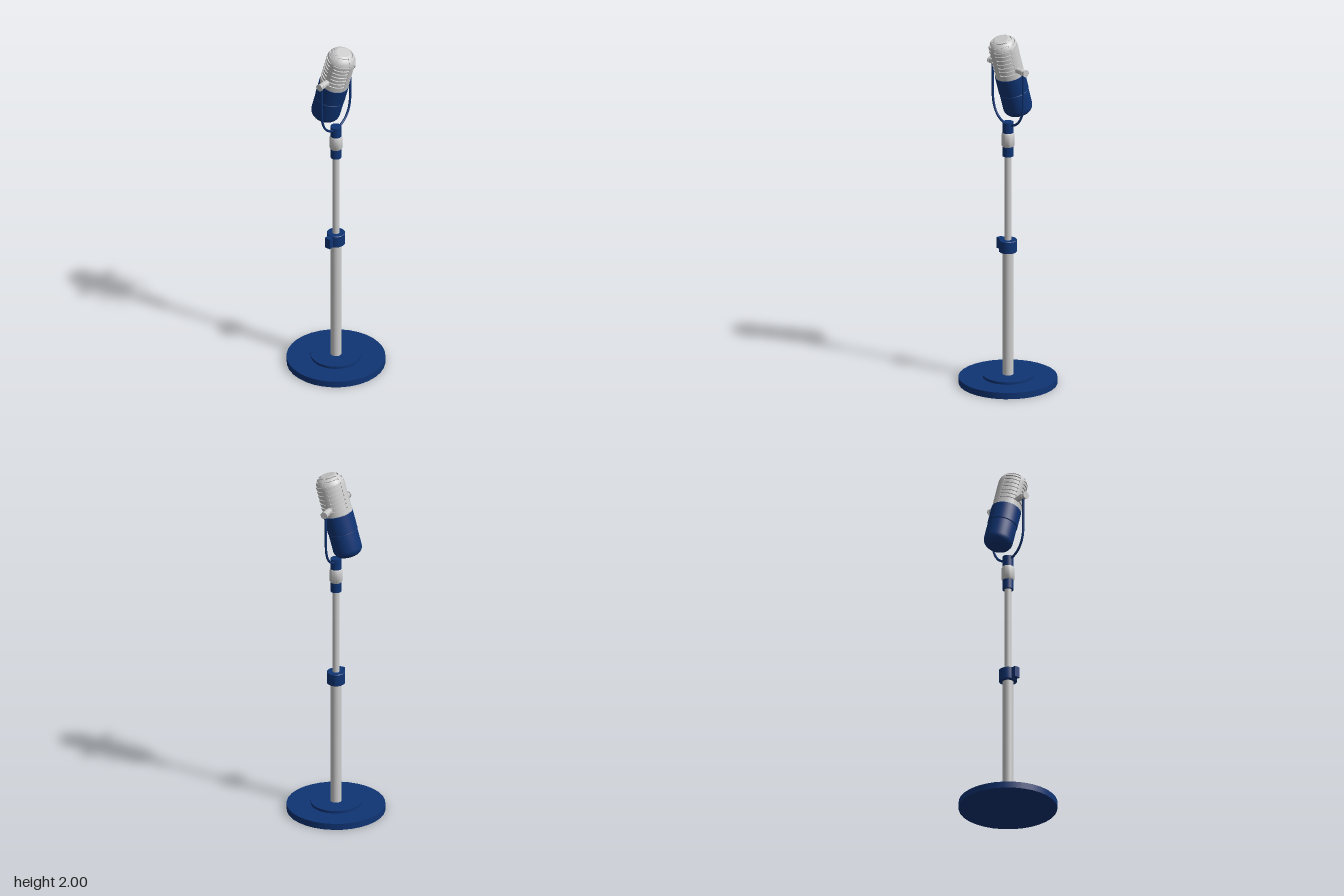
import * as THREE from 'three';
import { toCreasedNormals } from 'three/addons/utils/BufferGeometryUtils.js';

const grey = new THREE.MeshStandardMaterial({ color: 0xcccccc });
const blue = new THREE.MeshStandardMaterial({ color: 0x0f3474 });

function add(parent, name, geometry, material, x = 0, y = 0, z = 0) {
  const mesh = new THREE.Mesh(geometry, material);
  mesh.name = name;
  mesh.position.set(x, y, z);
  parent.add(mesh);
  return mesh;
}

// Turned part from [radius, height] pairs, bottom to top, with sharp edges kept
function turned(points, segments = 32) {
  const lathe = new THREE.LatheGeometry(points.map(([r, y]) => new THREE.Vector2(r, y)), segments);
  return toCreasedNormals(lathe, 0.6);
}

// Plain disc or rod standing between two heights
function rod(parent, name, radius, y0, y1, material, segments = 32) {
  return add(parent, name, new THREE.CylinderGeometry(radius, radius, y1 - y0, segments), material, 0, (y0 + y1) / 2);
}

// Grille outline: straight side, then a rounded shoulder; s runs along it, inset goes inward
const SIDE = 0.08, SHOULDER = 0.122, ROUND = 0.06, S_TOP = 0.199;
function outline(s, inset = 0) {
  if (s <= SHOULDER) return [SIDE - inset, s];
  const a = (s - SHOULDER) / ROUND;
  return [SIDE - ROUND + (ROUND - inset) * Math.cos(a), SHOULDER + (ROUND - inset) * Math.sin(a)];
}

// A box bent onto the grille outline, covering an angle range and an s range
function shellPiece(phi0, phi1, s0, s1) {
  const nPhi = Math.max(3, Math.ceil((phi1 - phi0) * 7));
  const nS = Math.max(2, Math.ceil((s1 - s0) / 0.008));
  const g = new THREE.BoxGeometry(1, 1, 1, nPhi, nS, 1);
  const p = g.attributes.position;
  for (let i = 0; i < p.count; i++) {
    const phi = phi0 + (p.getX(i) + 0.5) * (phi1 - phi0);
    const [r, y] = outline(s0 + (p.getY(i) + 0.5) * (s1 - s0), (0.5 - p.getZ(i)) * 0.008);
    p.setXYZ(i, r * Math.sin(phi), y, r * Math.cos(phi));
  }
  g.computeVertexNormals();
  return g;
}

function createMicrophone() {
  const mic = new THREE.Group();
  mic.name = 'microphone';

  // Lower housing with a rounded bottom and a slightly wider sleeve
  const housing = [[0, -0.293]];
  for (let i = 0; i <= 8; i++) {
    const a = (i / 8) * Math.PI / 2;
    housing.push([0.036 + 0.044 * Math.sin(a), -0.249 - 0.044 * Math.cos(a)]);
  }
  housing.push([0.08, -0.152], [0.078, -0.15], [0.082, -0.147], [0.082, -0.046], [0.08, -0.044], [0.07, -0.044]);
  add(mic, 'housing', turned(housing, 40), blue);

  // Inner core seen through the slots
  const core = [];
  for (let i = 0; i <= 12; i++) core.push(outline(i === 0 ? -0.046 : SHOULDER + (i - 1) / 11 * (S_TOP - SHOULDER), 0.006));
  core.push([0, core[12][1]]);
  add(mic, 'grilleCore', turned(core, 40), grey);

  // Slats between the slots
  const slots = 9, pitch = 0.024, slotHeight = 0.009, first = -0.014;
  let bottom = -0.044;
  for (let i = 0; i <= slots; i++) {
    const slotStart = i < slots ? first + i * pitch : S_TOP;
    add(mic, 'grilleSlat', shellPiece(-Math.PI, Math.PI, bottom, slotStart), grey);
    bottom = slotStart + slotHeight;
  }

  // Upright ribs closing the slots at front, back and sides
  for (let i = 0; i < 4; i++) {
    const mid = i * Math.PI / 2, half = i % 2 ? 0.17 : 0.23;
    add(mic, 'grilleRib', shellPiece(mid - half, mid + half, -0.04, S_TOP - 0.002), grey);
  }
  const [capRadius, capTop] = outline(S_TOP);
  rod(mic, 'topCap', capRadius, capTop - 0.01, capTop, grey, 40);

  return mic;
}

export function createModel() {
  const model = new THREE.Group();
  model.name = 'microphoneOnStand';

  // Base and telescopic pole
  rod(model, 'base', 0.268, 0, 0.036, blue);
  rod(model, 'baseStep', 0.137, 0.036, 0.05, blue);
  rod(model, 'lowerPole', 0.029, 0.05, 0.76, grey);
  rod(model, 'upperPole', 0.019, 0.76, 1.31, grey);

  // Height clamp with its tightening block
  add(model, 'clampCollar', turned([[0.02, 0.755], [0.047, 0.755], [0.05, 0.758], [0.05, 0.821], [0.047, 0.824], [0.018, 0.824]]), blue);
  add(model, 'clampBlock', new THREE.BoxGeometry(0.045, 0.06, 0.034), blue, -0.055, 0.789, 0);

  // Swivel joint
  rod(model, 'jointLower', 0.03, 1.305, 1.365, blue);
  add(model, 'jointRing', turned([[0, 1.36], [0.03, 1.36], [0.035, 1.368], [0.035, 1.43], [0.03, 1.44], [0, 1.44]]), grey);
  rod(model, 'jointUpper', 0.03, 1.44, 1.5, blue);

  // Yoke wire: one U from pivot to pivot
  const yoke = new THREE.CurvePath();
  const v = (x, y) => new THREE.Vector3(x, y, 0);
  yoke.add(new THREE.LineCurve3(v(-0.126, 1.815), v(-0.126, 1.635)));
  yoke.add(new THREE.CubicBezierCurve3(v(-0.126, 1.635), v(-0.126, 1.54), v(-0.075, 1.485), v(0, 1.482)));
  yoke.add(new THREE.CubicBezierCurve3(v(0, 1.482), v(0.075, 1.485), v(0.126, 1.54), v(0.126, 1.635)));
  yoke.add(new THREE.LineCurve3(v(0.126, 1.635), v(0.126, 1.815)));
  add(model, 'yoke', new THREE.TubeGeometry(yoke, 64, 0.0065, 8), blue);

  // Pivot pins with collar and end flange
  for (const side of [-1, 1]) {
    const pin = turned([[0, 0.06], [0.016, 0.06], [0.016, 0.11], [0.018, 0.112], [0.018, 0.128], [0.016, 0.13],
      [0.016, 0.145], [0.02, 0.145], [0.02, 0.15], [0, 0.15]], 24);
    add(model, side > 0 ? 'leftPivot' : 'rightPivot', pin, grey, 0, 1.818, 0).rotation.z = -side * Math.PI / 2;
  }

  // Tilted head
  const mic = createMicrophone();
  mic.position.y = 1.817;
  mic.rotation.x = THREE.MathUtils.degToRad(16);
  model.add(mic);

  return model;
}
